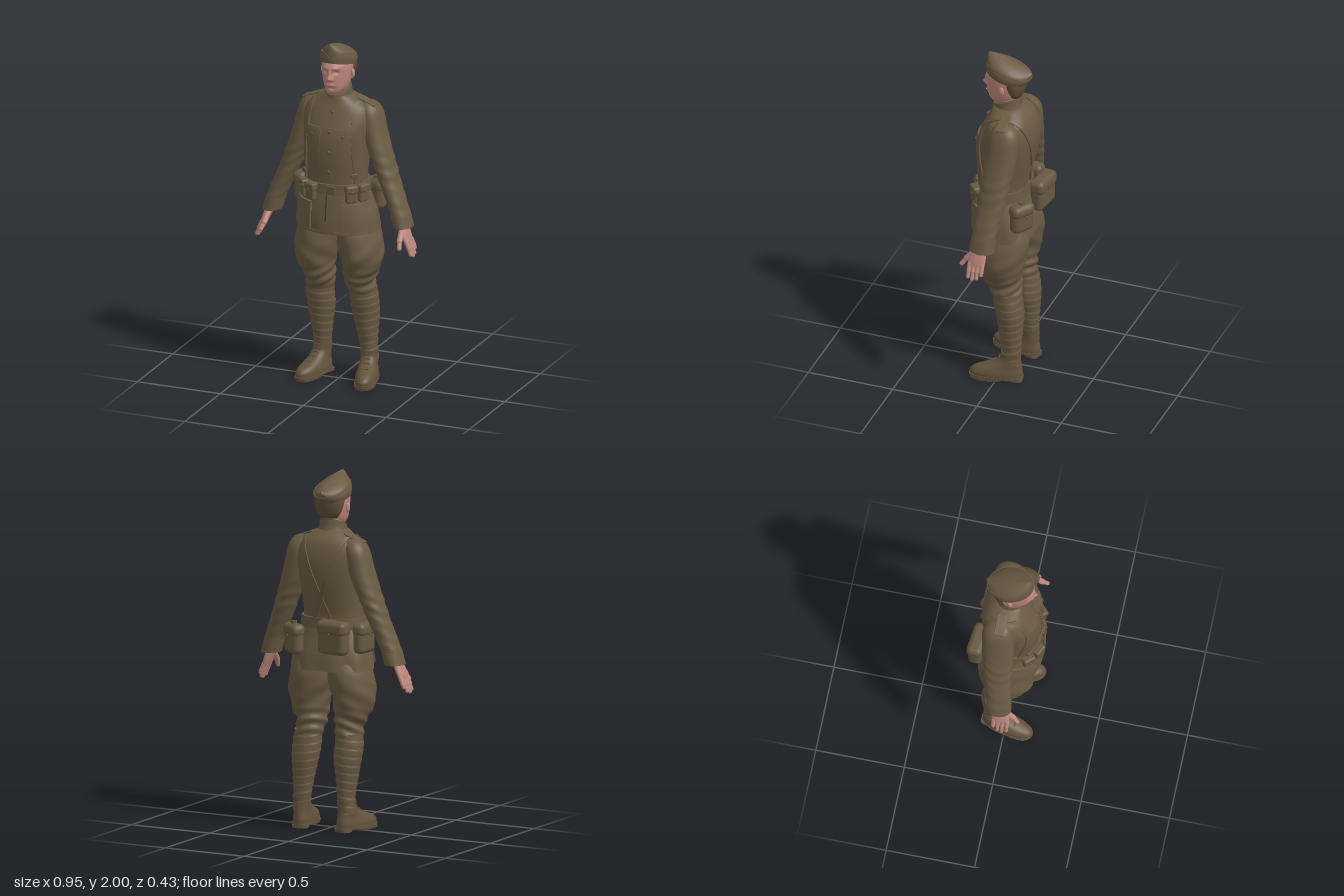
import * as THREE from 'three';
import { toCreasedNormals } from 'three/addons/utils/BufferGeometryUtils.js';
import { RoundedBoxGeometry } from 'three/addons/geometries/RoundedBoxGeometry.js';

const V = (x, y, z) => new THREE.Vector3(x, y, z);
const { sin, cos, abs, sign, min, max, PI } = Math;
const gauss = (x, x0, s) => Math.exp(-(((x - x0) / s) ** 2));

// Cross-sections are rows of [y, centreX, halfWidth, zFront, zBack], joined smoothly.
function at(rows, y) {
  let i = 1;
  const last = rows.length - 1;
  while (i < last && y > rows[i][0]) i++;
  const slope = (k, c) => {
    const p = rows[max(k - 1, 0)], q = rows[min(k + 1, last)];
    return (q[c] - p[c]) / (q[0] - p[0]);
  };
  const A = rows[i - 1], B = rows[i], h = B[0] - A[0], t = (y - A[0]) / h, t2 = t * t, t3 = t2 * t;
  return A.map((a, c) => (c === 0 ? y : (2 * t3 - 3 * t2 + 1) * a + (t3 - 2 * t2 + t) * h * slope(i - 1, c)
    + (3 * t2 - 2 * t3) * B[c] + (t3 - t2) * h * slope(i, c)));
}
const midZ = (zf, zb) => zb + (zf - zb) * 0.45;

function grid(nu, nv, fn) {
  const pos = [], idx = [];
  for (let j = 0; j <= nv; j++) for (let i = 0; i <= nu; i++) pos.push(...fn(i, j).toArray());
  for (let j = 0; j < nv; j++) for (let i = 0; i < nu; i++) {
    const a = j * (nu + 1) + i, b = a + nu + 1;
    idx.push(a, b, a + 1, a + 1, b, b + 1);
  }
  const g = new THREE.BufferGeometry();
  g.setAttribute('position', new THREE.Float32BufferAttribute(pos, 3));
  g.setIndex(idx);
  // enlarged while creasing, as close vertices are merged there
  return toCreasedNormals(g.scale(100, 100, 100), 0.8).scale(0.01, 0.01, 0.01);
}

// Closed body through the cross-sections; n squares the ellipse, warp moves each point.
function loft(rows, { n = 2, seg = 40, steps = 30, warp } = {}) {
  const y0 = rows[0][0], y1 = rows[rows.length - 1][0];
  return grid(seg, steps + 2, (i, j) => {
    const s = min(max(j - 1, 0), steps) / steps, r = j === 0 || j === steps + 2 ? 0 : 1;
    const [y, cx, rx, zf, zb] = at(rows, y0 + (y1 - y0) * s);
    const a = ((i % seg) / seg) * 2 * PI, c = cos(a), d = sin(a), cz = midZ(zf, zb);
    const p = V(cx + r * rx * sign(c) * abs(c) ** (2 / n), y,
      cz + r * (d > 0 ? zf - cz : cz - zb) * sign(d) * abs(d) ** (2 / n));
    if (warp) warp(p, a, r);
    return p;
  });
}
// Warp that pushes points outward by k(p, a), for cloth folds
const folds = (k) => (p, a, r) => {
  const d = r * k(p, a);
  p.x += cos(a) * d;
  p.z += sin(a) * d;
};

const TORSO_N = 2.3;
const torso = [
  [0.905, 0, 0.237, 0.188, -0.166], [1.0, 0, 0.224, 0.187, -0.152], [1.1, 0, 0.194, 0.177, -0.124],
  [1.16, 0, 0.174, 0.167, -0.11], [1.22, 0, 0.172, 0.168, -0.112], [1.32, 0, 0.178, 0.175, -0.132],
  [1.42, 0, 0.188, 0.173, -0.15], [1.5, 0, 0.198, 0.16, -0.156], [1.57, 0, 0.2, 0.13, -0.148],
  [1.62, 0, 0.18, 0.108, -0.132], [1.65, 0, 0.138, 0.095, -0.112], [1.685, 0, 0.08, 0.085, -0.075]];

// Point on the tunic at (x, y), on its front (face 1) or back (face -1), raised by d.
function surf(x, y, face, d) {
  const [, , rx, zf, zb] = at(torso, y), cz = midZ(zf, zb), rz = face > 0 ? zf - cz : cz - zb;
  const k = min(abs(x / rx), 0.985), q = (1 - k ** TORSO_N) ** (1 / TORSO_N), e = TORSO_N - 1;
  const normal = V(sign(x) * k ** e / rx, max(0, y - 1.56) * 100, face * q ** e / rz).normalize();
  return V(sign(x) * k * rx, y, cz + face * rz * q).addScaledVector(normal, d);
}
// Raised cloth pad or strap that follows the tunic; xc(t) is its centre line from y0 to y1.
function patch(xc, half, y0, y1, d, face = 1) {
  const nu = 10, nv = 26;
  return grid(nu, nv, (i, j) => {
    const u = min(max(i - 1, 0), nu - 2) / (nu - 2), t = min(max(j - 1, 0), nv - 2) / (nv - 2);
    const edge = i === 0 || j === 0 || i === nu || j === nv;
    return surf(xc(t) + face * half * (1 - 2 * u), y0 + (y1 - y0) * t, face, edge ? -0.004 : d);
  });
}

function capsule(a, b, r) {
  const dir = b.clone().sub(a), g = new THREE.CapsuleGeometry(r, dir.length(), 5, 10);
  g.applyQuaternion(new THREE.Quaternion().setFromUnitVectors(V(0, 1, 0), dir.normalize()));
  return g.translate(...a.clone().add(b).multiplyScalar(0.5).toArray());
}
const ball = (p, sx, sy, sz) => new THREE.SphereGeometry(1, 16, 12).scale(sx, sy, sz).translate(p.x, p.y, p.z);
const box = (w, h, d, r) => new RoundedBoxGeometry(w, h, d, 3, r);

function mirror(geo) {
  const g = geo.index ? geo.toNonIndexed() : geo.clone();
  g.scale(-1, 1, 1);
  for (const key of ['position', 'normal']) {
    const a = g.attributes[key].array;
    for (let i = 0; i < a.length; i += 9) for (let c = 3; c < 6; c++) [a[i + c], a[i + c + 3]] = [a[i + c + 3], a[i + c]];
  }
  return g;
}

export function createModel() {
  const root = new THREE.Group();
  root.name = 'soldier';
  const material = (name, color) => Object.assign(new THREE.MeshStandardMaterial({ color }), { name });
  const khaki = material('khaki cloth', 0x695a42), gear = material('webbing', 0x675841);
  const leather = material('boot leather', 0x63533d), skin = material('skin', 0xbd877c);
  const hairMat = material('hair', 0x5f4d37), dark = material('dark seam', 0x3f3426), lip = material('lips', 0xb37d73);
  const add = (name, geo, mat) => {
    const m = new THREE.Mesh(geo, mat);
    m.name = name;
    root.add(m);
  };
  const both = (name, geo, mat, rightGeo = geo) => {
    add(name + 'Left', geo, mat);
    add(name + 'Right', mirror(rightGeo), mat);
  };

  // Tunic with soft folds round the skirt
  add('tunic', loft(torso, { n: TORSO_N, seg: 72, steps: 60,
    warp: folds((p, a) => 0.004 * sin(a * 9) * gauss(p.y, 0.93, 0.1)) }), khaki);
  add('collar', loft([[1.625, 0, 0.1, 0.1, -0.085], [1.67, 0, 0.082, 0.094, -0.072], [1.722, 0, 0.074, 0.088, -0.066]],
    { steps: 10, warp: (p) => { p.y -= 0.4 * (p.z - 0.01); } }), khaki);
  add('placket', patch(() => 0.012, 0.016, 1.2, 1.62, 0.004), khaki);
  add('skirtOpening', patch(() => 0, 0.003, 0.91, 1.13, 0.003), dark);
  add('hem', patch(() => 0, 0.17, 0.908, 0.922, 0.003), khaki);
  for (const y of [1.6, 1.5, 1.385, 1.27]) add('button', ball(surf(0.012, y, 1, 0.006), 0.01, 0.01, 0.006), leather);
  both('chestPocket', patch(() => 0.09, 0.045, 1.38, 1.5, 0.004), khaki);
  both('chestPocketFlap', patch(() => 0.09, 0.05, 1.465, 1.52, 0.009), khaki);
  both('chestPocketButton', ball(surf(0.09, 1.478, 1, 0.011), 0.007, 0.007, 0.005), leather);
  both('skirtPocket', patch(() => 0.15, 0.056, 0.93, 1.075, 0.008), khaki);
  both('skirtPocketFlap', patch(() => 0.147, 0.058, 1.03, 1.085, 0.015), khaki);
  both('shoulderStrap', box(0.125, 0.012, 0.058, 0.005).rotateZ(-0.36).translate(0.158, 1.647, -0.025), khaki);

  // Sleeves, slightly wrinkled at the elbow
  const sleeve = [
    [0.955, 0.393, 0.052, 0.08, -0.06], [1.0, 0.382, 0.052, 0.078, -0.062], [1.1, 0.344, 0.054, 0.072, -0.072],
    [1.2, 0.302, 0.057, 0.066, -0.088], [1.3, 0.265, 0.06, 0.064, -0.102], [1.4, 0.227, 0.065, 0.062, -0.115],
    [1.5, 0.197, 0.067, 0.056, -0.122], [1.57, 0.183, 0.064, 0.048, -0.122], [1.61, 0.171, 0.059, 0.036, -0.11],
    [1.632, 0.16, 0.049, 0.02, -0.09], [1.646, 0.148, 0.03, 0.0, -0.065]];
  both('sleeve', loft(sleeve, { n: 2.1, steps: 54,
    warp: folds((p, a) => 0.0025 * sin(p.y * 85 + 3 * sin(a + 1)) * (gauss(p.y, 1.27, 0.09) + 0.5 * gauss(p.y, 1.05, 0.08))) }), khaki);
  both('cuff', loft([[0.953, 0.394, 0.054, 0.083, -0.063], [1.02, 0.375, 0.054, 0.079, -0.066]], { steps: 4 }), khaki);

  // Hands
  both('palm', loft([[0.862, 0.436, 0.013, 0.072, -0.012], [0.885, 0.43, 0.018, 0.08, -0.02],
    [0.925, 0.415, 0.022, 0.076, -0.021], [0.985, 0.392, 0.026, 0.052, -0.016]], { seg: 24, steps: 14 }), skin);
  [[0.068, 0.8], [0.043, 0.79], [0.018, 0.798], [-0.007, 0.82]].forEach(([z, tip]) => {
    const knuckle = V(0.435, 0.88, z), joint = V(0.452, 0.84, z), end = V(0.467 - (tip - 0.79) * 0.35, tip + 0.008, z);
    both('fingerBase', capsule(knuckle, joint, 0.0122), skin);
    both('fingerTip', capsule(joint, end, 0.0105), skin);
  });
  both('thumbBase', capsule(V(0.402, 0.94, 0.052), V(0.408, 0.89, 0.098), 0.0165), skin);
  both('thumbTip', capsule(V(0.408, 0.89, 0.098), V(0.417, 0.856, 0.122), 0.0125), skin);

  // Breeches, gathered into folds at the knee
  both('breeches', loft([
    [0.52, 0.13, 0.078, 0.042, -0.12], [0.56, 0.123, 0.08, 0.068, -0.118], [0.6, 0.12, 0.083, 0.09, -0.117],
    [0.66, 0.133, 0.1, 0.118, -0.123], [0.75, 0.138, 0.119, 0.152, -0.14], [0.82, 0.127, 0.126, 0.158, -0.155],
    [0.9, 0.115, 0.119, 0.154, -0.157], [1.0, 0.1, 0.1, 0.12, -0.12]], { n: 1.85, seg: 56, steps: 64,
    warp: folds((p, a) => 0.007 * sin(p.y * 100 + 4 * sin(a + 0.6)) * gauss(p.y, 0.6, 0.07)
      + 0.004 * sin(p.y * 45 + 4 * a) * gauss(p.y, 0.74, 0.09)) }), khaki);
  // Spiral leg wraps; the right ankle stands a little further in
  const legWrap = (shift) => loft([
    [0.1, 0.158 - shift, 0.047, -0.016, -0.125], [0.2, 0.15 - shift * 0.9, 0.05, -0.016, -0.126],
    [0.3, 0.144 - shift * 0.6, 0.062, 0.003, -0.131], [0.4, 0.137 - shift * 0.3, 0.077, 0.019, -0.136],
    [0.48, 0.133, 0.08, 0.036, -0.128], [0.55, 0.13, 0.075, 0.04, -0.115]],
  { seg: 40, steps: 90, warp: folds((p, a) => {
    const f = p.y / 0.046 + a / (2 * PI);
    return 0.0035 * (f - Math.floor(f) - 0.4);
  }) });
  both('legWrap', legWrap(0), khaki, legWrap(0.024));

  // Boots, toes turned out
  const boots = (name, geo) => {
    const left = geo.rotateY(0.22).translate(0.155, 0, -0.07);
    both(name, left, leather, left.clone().translate(-0.026, 0, 0));
  };
  boots('boot', loft([
    [0.022, 0, 0.059, 0.228, -0.064], [0.045, 0, 0.06, 0.23, -0.066], [0.068, 0, 0.056, 0.204, -0.063],
    [0.085, 0, 0.052, 0.158, -0.06], [0.11, 0, 0.049, 0.095, -0.057], [0.14, 0, 0.048, 0.06, -0.055],
    [0.175, 0, 0.05, 0.055, -0.057]], { n: 2.2, steps: 26 }));
  boots('welt', loft([[0.014, 0, 0.063, 0.235, -0.069], [0.027, 0, 0.063, 0.235, -0.069]], { n: 2.2, steps: 2 }));
  boots('sole', loft([[0, 0, 0.058, 0.229, 0.03], [0.016, 0, 0.061, 0.233, 0.02]], { n: 2.3, steps: 2 }));
  boots('heel', loft([[0, 0, 0.047, 0.01, -0.068], [0.016, 0, 0.047, 0.012, -0.068]], { n: 3, steps: 2 }));
  [0.14, 0.1, 0.075, 0.062].forEach((z, i) => {
    const y = 0.095 + i * 0.02;
    boots('bootLace', capsule(V(-0.015, y, z - 0.009), V(0.015, y, z - 0.009), 0.0045));
  });

  // Neck and face, shaped by soft bumps
  add('neck', loft([[1.62, 0, 0.06, 0.06, -0.06], [1.7, 0, 0.057, 0.068, -0.058], [1.8, 0, 0.055, 0.05, -0.07]], { steps: 8 }), skin);
  add('head', loft([
    [1.698, 0, 0.028, 0.094, 0.02], [1.712, 0, 0.046, 0.108, -0.02], [1.74, 0, 0.065, 0.12, -0.055],
    [1.78, 0, 0.076, 0.126, -0.076], [1.82, 0, 0.082, 0.128, -0.088], [1.865, 0, 0.083, 0.13, -0.095],
    [1.895, 0, 0.072, 0.114, -0.07]], { seg: 110, steps: 80, warp: (p) => {
    if (p.z < 0.04) return;
    const x = abs(p.x), y = p.y;
    p.z += 0.024 * gauss(x, 0, 0.012) * gauss(y, 1.803, 0.014) + 0.014 * gauss(x, 0, 0.01) * gauss(y, 1.832, 0.022)
      + 0.009 * gauss(x, 0.013, 0.008) * gauss(y, 1.796, 0.009) - 0.013 * gauss(x, 0.032, 0.016) * gauss(y, 1.836, 0.012)
      + 0.005 * gauss(x, 0.03, 0.022) * gauss(y, 1.86, 0.009) + 0.008 * gauss(x, 0, 0.024) * gauss(y, 1.761, 0.012)
      - 0.006 * gauss(x, 0, 0.024) * gauss(y, 1.742, 0.007) + 0.005 * gauss(x, 0, 0.022) * gauss(y, 1.718, 0.013);
  } }), skin);
  add('mouth', ball(V(0, 1.761, 0.128), 0.02, 0.004, 0.0055), lip);
  both('eye', ball(V(0.032, 1.836, 0.1), 0.01, 0.004, 0.007), dark);
  both('eyebrow', capsule(V(0.018, 1.856, 0.125), V(0.046, 1.858, 0.109), 0.003), hairMat);
  both('ear', ball(V(0.091, 1.81, 0.012), 0.01, 0.027, 0.016), skin);
  both('earLobe', ball(V(0.086, 1.787, 0.015), 0.007, 0.01, 0.01), skin);
  add('hair', loft([[1.752, 0, 0.05, -0.01, -0.074], [1.78, 0, 0.073, -0.003, -0.088], [1.82, 0, 0.086, 0.02, -0.098],
    [1.868, 0, 0.089, 0.042, -0.102]], { steps: 14 }), hairMat);

  // Folded field cap: v runs from the slanted brim to the slanted ridge
  const capY = (v, z) => (1.862 + 0.22 * z) * (1 - v) + (1.955 + 0.37 * z + 0.014 * max(0, 1 - (z / 0.12) ** 2)) * v;
  add('cap', loft([[0, 0, 0.091, 0.124, -0.104], [0.35, 0, 0.094, 0.126, -0.12], [0.62, 0, 0.085, 0.126, -0.13],
    [0.85, 0, 0.053, 0.123, -0.136], [0.95, 0, 0.027, 0.121, -0.137], [1, 0, 0.006, 0.119, -0.137]],
  { seg: 60, steps: 26, warp: (p) => { p.y = capY(p.y, p.z); } }), khaki);
  add('capTurnUp', loft([[0, 0, 0.096, 0.129, -0.107], [0.3, 0, 0.1, 0.131, -0.123], [0.58, 0, 0.093, 0.131, -0.133]],
    { seg: 72, steps: 10, warp: (p) => { p.y = capY(p.y * (p.z > 0.05 ? 1 - 0.5 * gauss(p.x, 0.01, 0.035) : 1), p.z); } }), khaki);

  // Belt, buckle and suspenders
  add('belt', loft([[1.135, 0, 0.19, 0.182, -0.126], [1.165, 0, 0.187, 0.18, -0.124], [1.195, 0, 0.184, 0.18, -0.123]],
    { n: TORSO_N, seg: 64, steps: 4 }), gear);
  add('buckle', box(0.055, 0.05, 0.014, 0.005).translate(0.03, 1.165, 0.183), leather);
  both('frontSuspender', patch((t) => 0.153 - 0.023 * t, 0.011, 1.18, 1.65, 0.009), gear);
  both('backSuspender', patch((t) => -0.05 + 0.18 * t, 0.012, 1.18, 1.65, 0.008, -1), gear);
  both('suspenderClip', box(0.036, 0.024, 0.012, 0.004).rotateY(0.6).translate(0.15, 1.25, 0.136), leather);

  // Bags: rounded body, flap over the upper front, and a stud
  const bag = (name, w, h, d, r, [x, y, z], turn) => {
    const put = (g) => g.rotateY(turn).translate(x, y, z);
    add(name, put(box(w, h, d, r)), gear);
    add(name + 'Flap', put(box(w + 0.008, h * 0.45, d + 0.012, min(r, h * 0.2)).translate(0, h * 0.3, 0.002)), gear);
    add(name + 'Stud', put(ball(V(0, h * 0.14, d / 2 + 0.009), 0.007, 0.007, 0.005)), leather);
  };
  for (const deg of [-27, -51, 44, 68]) {
    const t = (deg * PI) / 180;
    bag('beltPouch', 0.066, 0.1, 0.034, 0.012, [0.198 * sin(t), 1.145, 0.022 + 0.174 * cos(t)], t);
  }
  bag('haversack', 0.185, 0.185, 0.08, 0.03, [-0.096, 1.1, -0.162], PI - 0.12);
  bag('hipPouch', 0.145, 0.17, 0.068, 0.03, [-0.225, 1.095, -0.045], -PI / 2 - 0.12);
  bag('canteen', 0.14, 0.17, 0.072, 0.035, [0.168, 1.068, -0.137], PI - 0.55);
  add('canteenCap', new THREE.CylinderGeometry(0.017, 0.017, 0.03, 14).translate(0.168, 1.155, -0.137), leather);
  return root;
}
